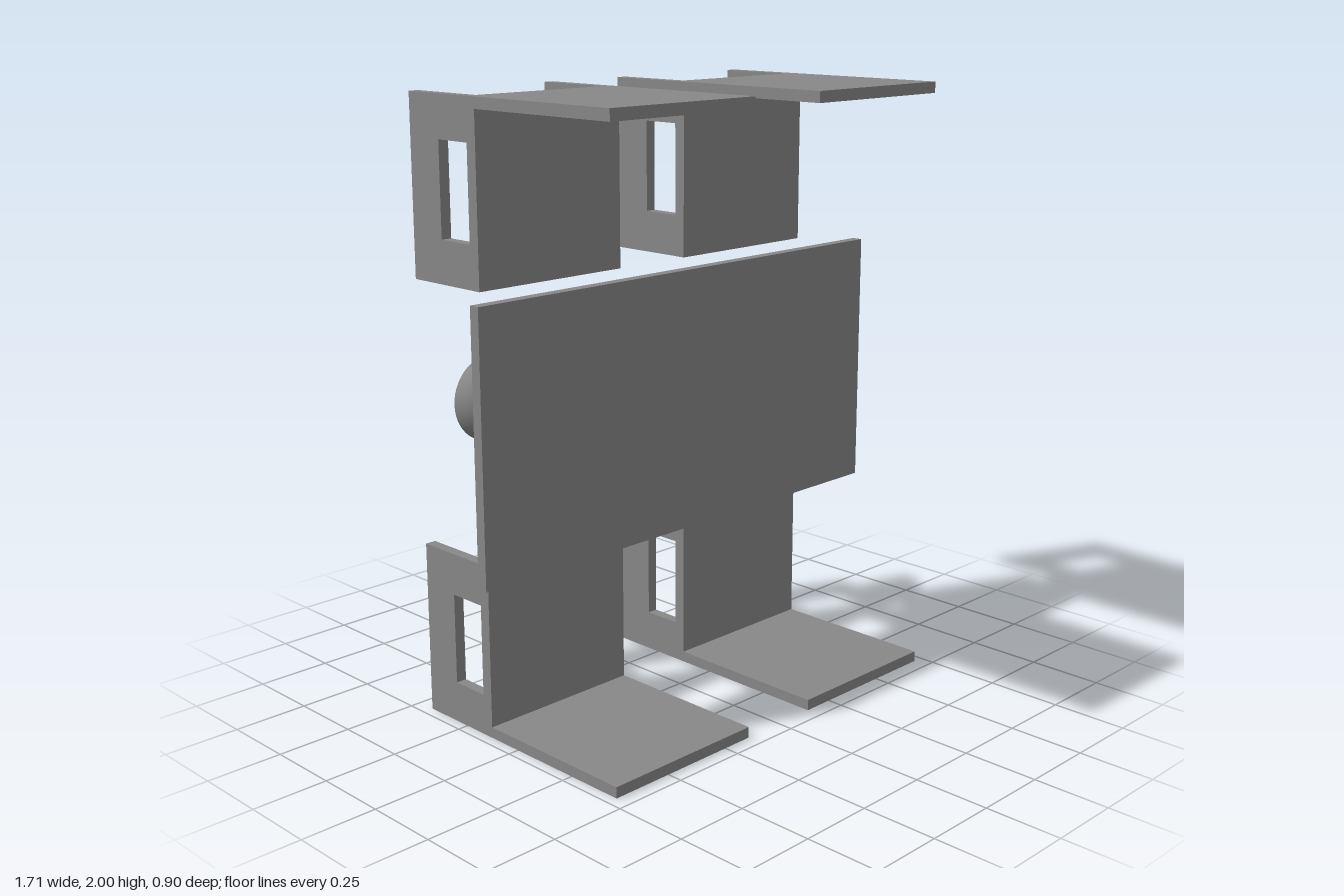
import * as THREE from 'three';

const T = 0.036;          // plate thickness
const CX = 0.4286;        // distance of each column from the centre
const W = 0.571;          // bracket width
const H = 0.571;          // bracket height
const BACK = -0.124;      // front face of the bracket's upright plate
const REAR = -0.434;      // rear edge of the bracket's side plates
const FRONT = 0.448;      // front edge of the shelf

const material = new THREE.MeshStandardMaterial({ color: 0x888888, side: THREE.DoubleSide });

function add(parent, name, geometry, x = 0, y = 0, z = 0) {
  const mesh = new THREE.Mesh(geometry, material);
  mesh.name = name;
  mesh.position.set(x, y, z);
  parent.add(mesh);
}

function rectangle(path, a0, b0, a1, b1) {
  path.moveTo(a0, b0);
  path.lineTo(a1, b0);
  path.lineTo(a1, b1);
  path.lineTo(a0, b1);
  path.closePath();
  return path;
}

// Side plate with a window: drawn in (-z, y), then turned so its thickness runs along x
function sidePlateGeometry(y0, y1) {
  const shape = rectangle(new THREE.Shape(), -BACK, 0, -REAR, H);
  shape.holes.push(rectangle(new THREE.Path(), 0.163, y0, 0.297, y1));
  return new THREE.ExtrudeGeometry(shape, { depth: T, bevelEnabled: false })
    .translate(0, 0, -T / 2)
    .rotateY(Math.PI / 2);
}

// Bracket: shelf, upright plate and two windowed side plates
function createBracket(upper) {
  const bracket = new THREE.Group();
  bracket.name = upper ? 'upperBracket' : 'lowerBracket';
  const shelfY = upper ? H - T / 2 : T / 2;
  add(bracket, 'shelf', new THREE.BoxGeometry(W, T, FRONT - BACK), 0, shelfY, (FRONT + BACK) / 2);
  add(bracket, 'uprightPlate', new THREE.BoxGeometry(W - 2 * T, H, T), 0, H / 2, BACK - T / 2);
  const side = upper ? sidePlateGeometry(H - 0.434, H - 0.135) : sidePlateGeometry(0.135, 0.434);
  for (const s of [-1, 1]) {
    add(bracket, s > 0 ? 'leftSidePlate' : 'rightSidePlate', side, s * (W - T) / 2);
  }
  return bracket;
}

// Stem with an open half-round cup, pointing to the rear
function createCupArm() {
  const arm = new THREE.Group();
  arm.name = 'cupArm';
  const z0 = 0.012, z1 = -0.34;
  const stem = new THREE.CylinderGeometry(0.0714, 0.0714, z0 - z1, 40);
  add(arm, 'stem', stem.rotateX(Math.PI / 2), 0, 0, (z0 + z1) / 2);
  const cup = new THREE.SphereGeometry(0.143, 48, 20, 0, Math.PI * 2, 0, Math.PI / 2);
  add(arm, 'cup', cup.rotateX(Math.PI / 2), 0, 0, -0.448);
  return arm;
}

export function createModel() {
  const model = new THREE.Group();
  model.name = 'panelAndBrackets';

  // Large middle panel
  add(model, 'mainPanel', new THREE.BoxGeometry(1.714, 0.857, T), 0, 1, 0.029);

  // Two columns of brackets and cup arms
  for (const s of [-1, 1]) {
    const lower = createBracket(false);
    lower.position.x = s * CX;
    const upper = createBracket(true);
    upper.position.set(s * CX, 2 - H, 0);
    const arm = createCupArm();
    arm.position.set(s * CX, 1, 0);
    model.add(lower, upper, arm);
  }
  return model;
}
